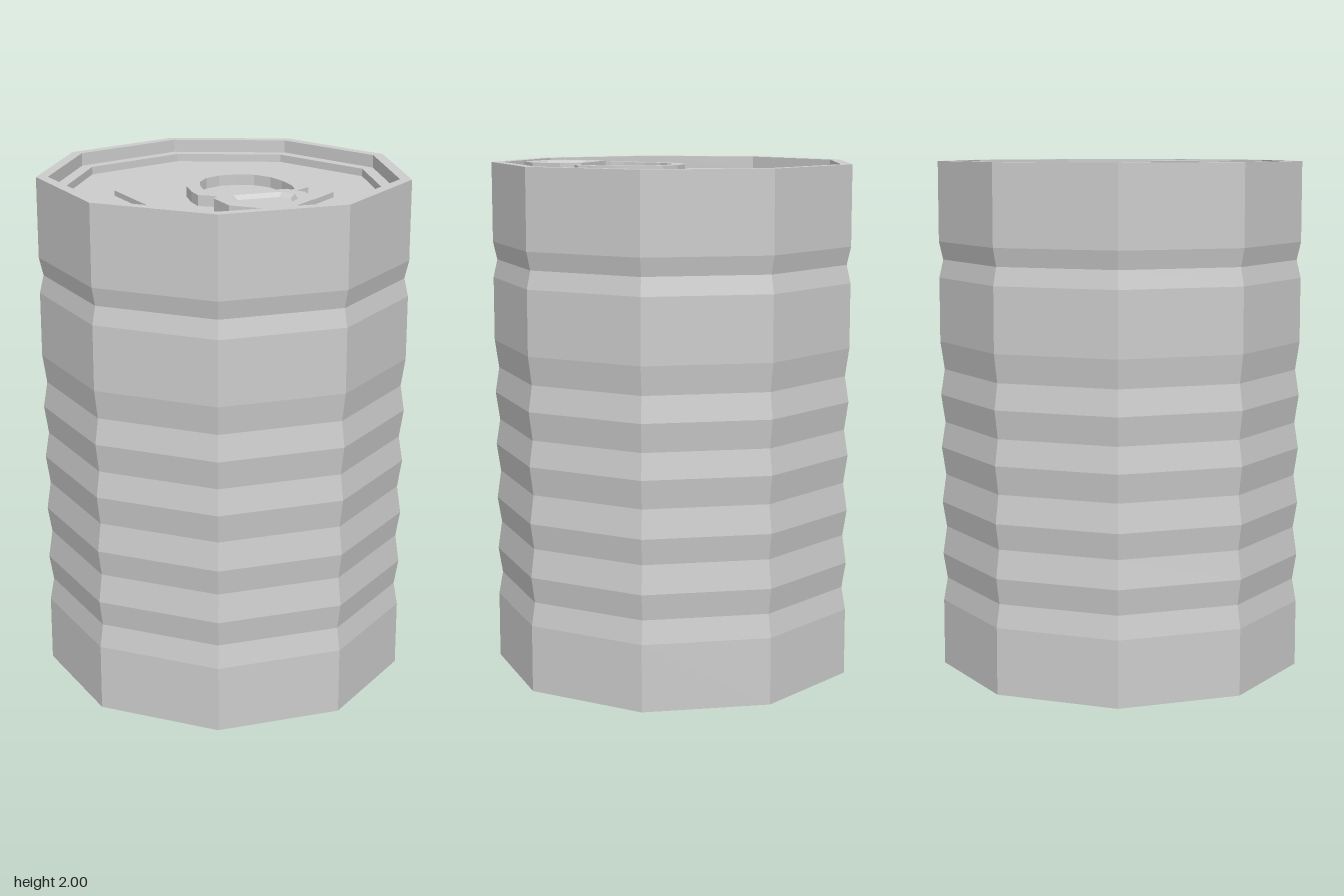
import * as THREE from 'three';

const SIDES = 9;
const CENTER_Z = 0.019;
const material = new THREE.MeshStandardMaterial({ color: 0xcccccc, flatShading: true });

function addMesh(group, name, geometry) {
  const mesh = new THREE.Mesh(geometry, material);
  mesh.name = name;
  group.add(mesh);
  return mesh;
}

// Nine-sided turned part with one corner pointing to the back
function turned(group, name, profile) {
  const points = profile.map(([r, y]) => new THREE.Vector2(r, y));
  const mesh = addMesh(group, name, new THREE.LatheGeometry(points, SIDES, Math.PI));
  mesh.position.z = CENTER_Z;
}

// Skin over a stack of loops, each made of [x, y, z] corners
function loft(loops) {
  const n = loops[0].length;
  const index = [];
  for (let k = 0; k < loops.length - 1; k++) {
    for (let i = 0; i < n; i++) {
      const j = (i + 1) % n;
      const a = k * n + i, b = k * n + j, c = a + n, d = b + n;
      index.push(a, c, d, a, d, b);
    }
  }
  const geometry = new THREE.BufferGeometry();
  geometry.setAttribute('position', new THREE.Float32BufferAttribute(loops.flat(2), 3));
  geometry.setIndex(index);
  geometry.computeVertexNormals();
  return geometry;
}

// Closed outline from its right half, mirrored about x = cx
function mirrored(half, cx) {
  const right = half.map(([x, z]) => new THREE.Vector2(cx + x, z));
  const left = half.map(([x, z]) => new THREE.Vector2(cx - x, z)).reverse();
  return [...right, ...left];
}

export function createModel() {
  const group = new THREE.Group();
  const R = 0.714, groove = 0.698;

  // Ribbed wall with closed bottom and rim
  const ribs = [0.26, 0.35, 0.45, 0.56, 0.66, 0.77, 0.88, 0.98, 1.09, 1.19, 1.3]
    .map((y, i) => [i % 2 ? groove : R, y]);
  turned(group, 'canBody', [
    [0, 0], [R, 0], ...ribs,
    [R, 1.55], [groove, 1.62], [R, 1.69],
    [R, 2], [0.669, 2], [0.669, 1.95],
  ]);

  // Sunken lid: ledge, step and floor, then the raised middle
  turned(group, 'lid', [[0.669, 1.95], [0.62, 1.95], [0.62, 1.92], [0, 1.92]]);
  turned(group, 'lidCenter', [[0.42, 1.92], [0.42, 1.94], [0, 1.94]]);

  // Pull ring
  const ring = new THREE.Shape(mirrored([
    [0.045, -0.012], [0.12, 0.02], [0.175, 0.09], [0.208, 0.18],
    [0.217, 0.27], [0.213, 0.335], [0.15, 0.375],
  ], 0.008));
  ring.holes.push(new THREE.Path(mirrored([
    [0.035, 0.038], [0.095, 0.066], [0.14, 0.125], [0.16, 0.2],
    [0.166, 0.29], [0.155, 0.345], [0.13, 0.358],
  ], 0.008)));
  const ringGeometry = new THREE.ExtrudeGeometry(ring, { depth: 0.04, bevelEnabled: false });
  ringGeometry.rotateX(Math.PI / 2);
  addMesh(group, 'pullRing', ringGeometry).position.y = 1.99;

  // Tab plate with a sloped recess
  const plate = mirrored([[0.125, 0.36], [0.175, 0.43], [0.158, 0.553], [0.063, 0.632]], 0);
  const recess = mirrored([[0.092, 0.402], [0.127, 0.445], [0.108, 0.53], [0.052, 0.585]], 0);
  const midZ = 0.492;
  const loop = (outline, y, scale = 1) =>
    outline.map((p) => [p.x * scale, y, midZ + (p.y - midZ) * scale]).reverse();
  // Corners must run from left to right along the back edge
  const ordered = (...args) => loop(...args).reverse();
  addMesh(group, 'tabPlate', loft([
    ordered(plate, 1.95, 0), ordered(plate, 1.95), ordered(plate, 1.996),
    ordered(recess, 1.996), ordered(recess, 1.98, 0.86), ordered(recess, 1.98, 0),
  ]));

  return group;
}
